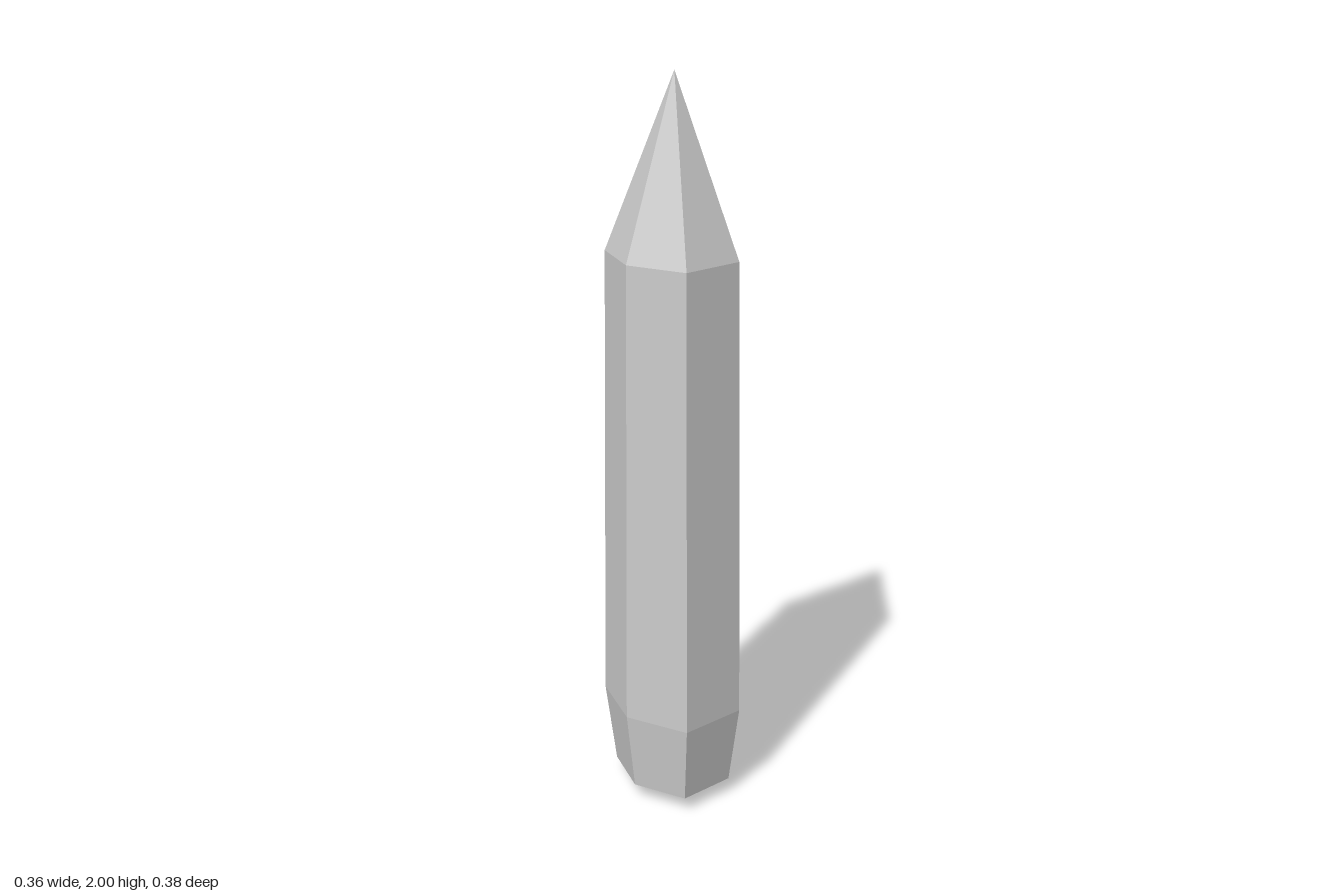
import * as THREE from 'three';

// Corners of the uneven hexagon around the shaft axis, from the front towards +x: [x, z]
const CORNERS = [[0, 0.17], [0.173, 0.099], [0.165, -0.095], [0, -0.208], [-0.155, -0.09], [-0.183, 0.105]];
const AXIS = { x: 0.005, z: 0.018 };

// Skin between hexagon rings given as [height, scale]; scale 0 is a point
function facetedSkin(rings) {
  const positions = [];
  const corner = ([y, s], j) => {
    const [x, z] = CORNERS[j % CORNERS.length];
    return [AXIS.x + x * s, y, AXIS.z + z * s];
  };
  for (let i = 0; i < rings.length - 1; i++) {
    const low = rings[i], high = rings[i + 1];
    for (let j = 0; j < CORNERS.length; j++) {
      const a = corner(low, j), b = corner(low, j + 1);
      const c = corner(high, j + 1), d = corner(high, j);
      if (low[1] > 0) positions.push(...a, ...b, ...c);
      if (high[1] > 0) positions.push(...a, ...c, ...d);
      else positions.push();
      // A point at either end leaves a single triangle per side
    }
  }
  const geometry = new THREE.BufferGeometry();
  geometry.setAttribute('position', new THREE.Float32BufferAttribute(positions, 3));
  geometry.computeVertexNormals();
  return geometry;
}

export function createModel() {
  const group = new THREE.Group();
  group.name = 'crystal';
  const material = new THREE.MeshStandardMaterial({ color: 0xcccccc, flatShading: true });

  const parts = {
    base: [[0, 0], [0.045, 0.845], [0.265, 1]], // blunt point and flared foot
    shaft: [[0.265, 1], [1.53, 0.92]],          // slightly tapering body
    tip: [[1.53, 0.92], [2, 0]],                // long pointed top
  };
  for (const [name, rings] of Object.entries(parts)) {
    const mesh = new THREE.Mesh(facetedSkin(rings), material);
    mesh.name = name;
    group.add(mesh);
  }
  return group;
}
